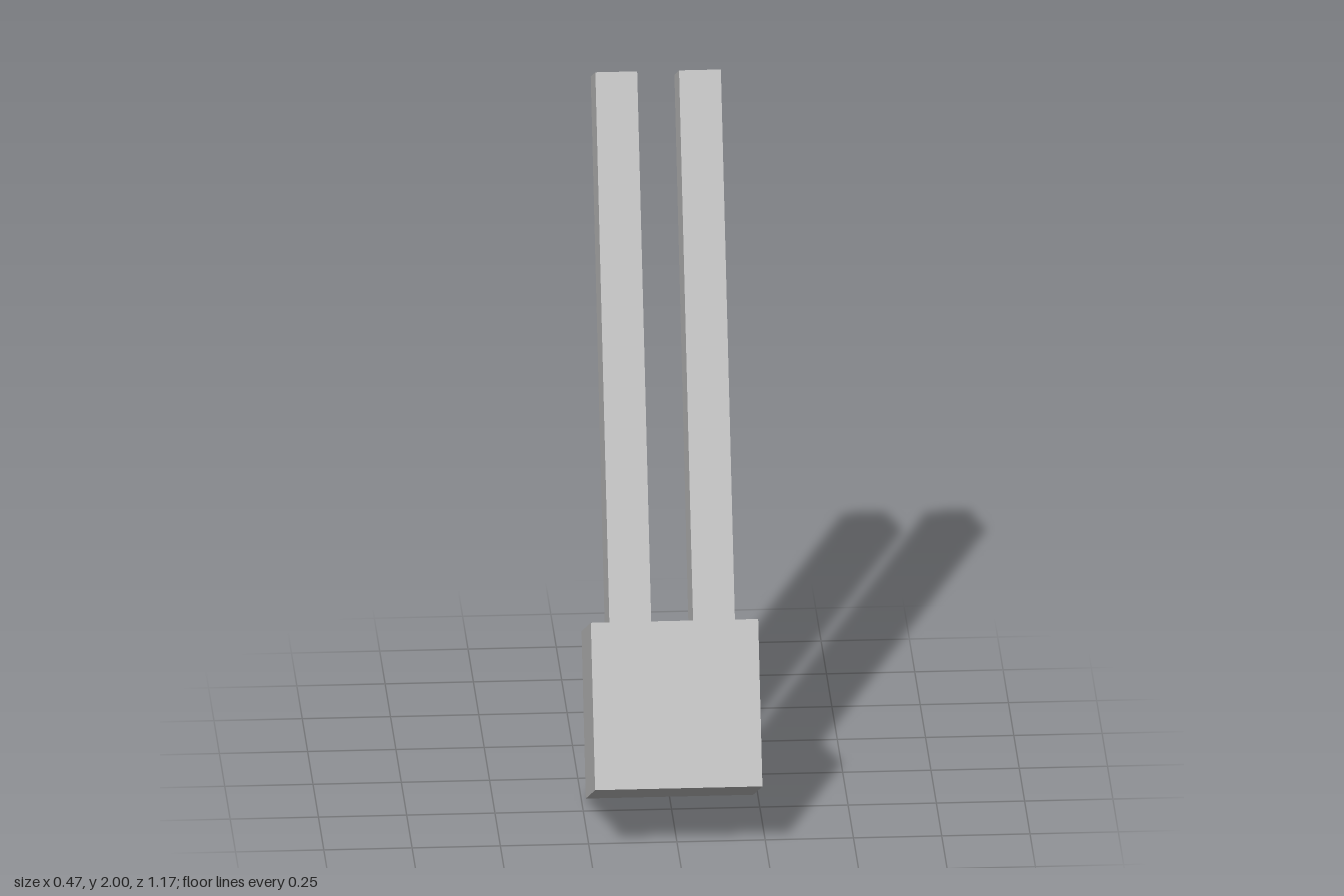
import * as THREE from 'three';

const UNIT = 0.237;    // half the base cube
const LENGTH = 1.563;  // prong length
const TILT = 0.43;     // backward lean in radians

export function createModel() {
  const model = new THREE.Group();
  const grey = new THREE.MeshStandardMaterial({ color: 0xb4b4b4 });
  grey.name = 'plain grey';

  // Leaning group, centred on the base cube
  const body = new THREE.Group();
  body.name = 'leaningBody';
  body.position.set(0, UNIT * (Math.cos(TILT) + Math.sin(TILT)), 0.272);
  body.rotation.x = -TILT;
  model.add(body);

  const addBox = (name, w, h, d, x, y) => {
    const mesh = new THREE.Mesh(new THREE.BoxGeometry(w, h, d), grey);
    mesh.name = name;
    mesh.position.set(x, y, 0);
    body.add(mesh);
  };

  // Cubic base block
  addBox('base', 2 * UNIT, 2 * UNIT, 2 * UNIT, 0, 0);

  // Pair of parallel prongs standing on the base
  for (const [name, side] of [['leftProng', 1], ['rightProng', -1]]) {
    addBox(name, UNIT / 2, LENGTH, UNIT, side * UNIT / 2, UNIT + LENGTH / 2);
  }

  return model;
}
